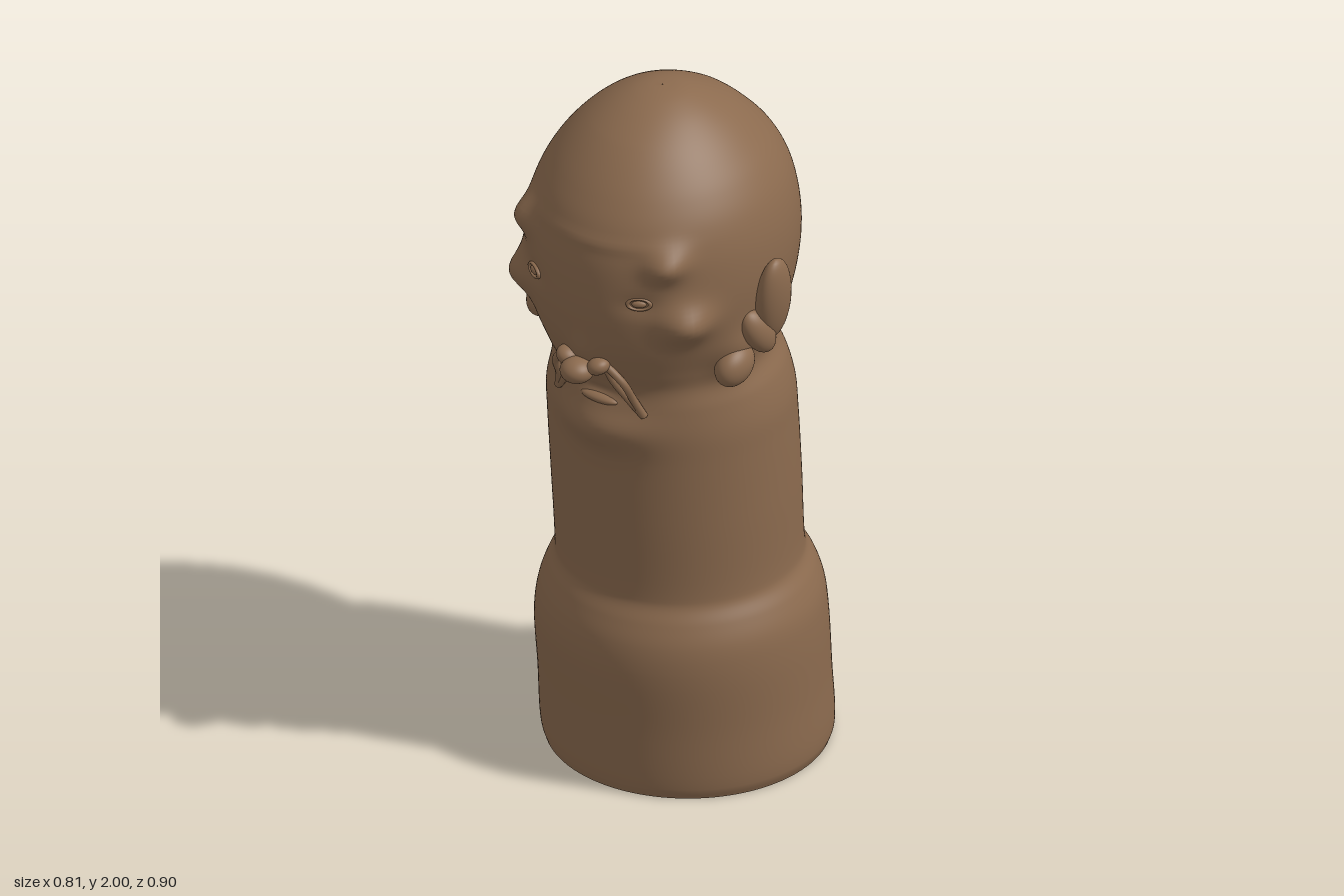
import * as THREE from 'three';

const clay = new THREE.MeshStandardMaterial({ color: 0x8b6a4e, side: THREE.DoubleSide });
clay.name = 'brown clay';

// Body rings: height, x min, x max, z back, z front
const rings = [
  [0, -0.36, 0.4, -0.44, 0.32], [0.03, -0.37, 0.41, -0.445, 0.327], [0.2, -0.373, 0.408, -0.436, 0.338],
  [0.38, -0.375, 0.405, -0.425, 0.35], [0.46, -0.363, 0.395, -0.414, 0.34], [0.52, -0.343, 0.372, -0.395, 0.318],
  [0.565, -0.322, 0.347, -0.37, 0.297], [0.59, -0.32, 0.342, -0.366, 0.295], [0.8, -0.325, 0.34, -0.356, 0.305],
  [1.0, -0.33, 0.336, -0.345, 0.315], [1.09, -0.328, 0.332, -0.337, 0.32], [1.17, -0.305, 0.315, -0.315, 0.32],
  [1.235, -0.285, 0.29, -0.291, 0.33], [1.29, -0.295, 0.295, -0.305, 0.358], [1.38, -0.328, 0.325, -0.34, 0.392],
  [1.48, -0.35, 0.345, -0.362, 0.408], [1.57, -0.356, 0.35, -0.37, 0.41], [1.66, -0.348, 0.342, -0.362, 0.402],
  [1.74, -0.325, 0.32, -0.342, 0.378], [1.81, -0.29, 0.283, -0.305, 0.335], [1.87, -0.245, 0.235, -0.252, 0.284],
  [1.92, -0.195, 0.183, -0.195, 0.228], [1.96, -0.14, 0.128, -0.125, 0.163], [1.985, -0.09, 0.078, -0.07, 0.105],
  [1.996, -0.05, 0.04, -0.03, 0.062], [2, -0.006, -0.004, 0.019, 0.021],
];

// Soft swellings and hollows: centre x, y, z, spread x, y, z, height
const swellings = [
  [0.22, 1.66, 0.31, 0.045, 0.045, 0.08, 0.04], [-0.235, 1.66, 0.3, 0.045, 0.045, 0.08, 0.04], // brow knobs
  [0.255, 1.475, 0.27, 0.055, 0.055, 0.08, 0.05], [-0.25, 1.47, 0.27, 0.055, 0.055, 0.08, 0.05], // cheek knobs
  [0.17, 1.54, 0.36, 0.05, 0.03, 0.08, -0.008], [-0.18, 1.53, 0.36, 0.05, 0.03, 0.08, -0.008], // eye hollows
  [0, 1.35, 0.39, 0.04, 0.05, 0.1, 0.012], // nose root
  [0.01, 1.11, 0.32, 0.13, 0.07, 0.12, 0.042], // chin
  [0.01, 1.215, 0.33, 0.07, 0.016, 0.08, -0.014], // mouth line
  [0.31, 1.32, 0.11, 0.06, 0.08, 0.07, 0.03], [-0.31, 1.32, 0.11, 0.06, 0.08, 0.07, 0.03], // ear roots
  [0, 1.705, 0.38, 0.25, 0.018, 0.15, 0.005], // forehead fold
];

function bodyGeometry() {
  const around = 150, steps = 7, rows = (rings.length - 1) * steps;
  const sides = new THREE.CatmullRomCurve3(rings.map(r => new THREE.Vector3(r[1], r[0], r[2])));
  const depth = new THREE.CatmullRomCurve3(rings.map(r => new THREE.Vector3(r[3], r[0], r[4])));
  const pos = [], index = [];
  for (let j = 0; j <= rows; j++) {
    const s = sides.getPoint(j / rows), d = depth.getPoint(j / rows);
    for (let i = 0; i < around; i++) {
      const a = i / around * Math.PI * 2, ux = Math.sin(a), uz = Math.cos(a);
      let x = (s.x + s.z) / 2 + ux * (s.z - s.x) / 2;
      let z = (d.x + d.z) / 2 + uz * (d.z - d.x) / 2;
      let push = 0;
      for (const [bx, by, bz, sx, sy, sz, h] of swellings) {
        push += h * Math.exp(-(((x - bx) / sx) ** 2) - ((s.y - by) / sy) ** 2 - ((z - bz) / sz) ** 2);
      }
      pos.push(x + ux * push, s.y, z + uz * push);
      if (j < rows) {
        const k = (i + 1) % around, p = j * around, q = p + around;
        index.push(p + i, p + k, q + k, p + i, q + k, q + i);
      }
    }
  }
  const g = new THREE.BufferGeometry();
  g.setAttribute('position', new THREE.Float32BufferAttribute(pos, 3));
  g.setIndex(index);
  g.computeVertexNormals();
  return g;
}

export function createModel() {
  const model = new THREE.Group();
  model.name = 'carvedFigure';

  const add = (name, geometry) => {
    const m = new THREE.Mesh(geometry, clay);
    m.name = name;
    model.add(m);
    return m;
  };
  const blob = (name, p, r, rot = [0, 0, 0]) => {
    const m = add(name, new THREE.SphereGeometry(1, 32, 24));
    m.position.set(...p);
    m.scale.set(...r);
    m.rotation.set(...rot);
    return m;
  };

  // Base, trunk and head in one skin, open underneath
  add('body', bodyGeometry());

  // Nose
  blob('noseTip', [-0.003, 1.308, 0.405], [0.046, 0.034, 0.046]);

  for (const s of [1, -1]) {
    const side = s > 0 ? 'left' : 'right';

    // Nostril wings
    blob(side + 'Nostril', [s * 0.05, 1.328, 0.382], [0.032, 0.024, 0.032], [0, 0, s * 0.4]);

    // Ear, with the hanging lobe in front of its foot
    blob(side + 'Ear', [s * 0.362, 1.475, 0.025], [0.038, 0.13, 0.062], [0.1, 0, -s * 0.12]);
    blob(side + 'EarFold', [s * 0.345, 1.39, 0.07], [0.035, 0.075, 0.045], [0.5, 0, s * 0.2]);
    blob(side + 'EarLobe', [s * 0.308, 1.3, 0.125], [0.045, 0.056, 0.068], [0.3, 0, 0]);

    // Moustache strands running from the nose to the chin
    for (const spread of [0, 0.035]) {
      const path = new THREE.CatmullRomCurve3([
        new THREE.Vector3(s * 0.06, 1.335, 0.372),
        new THREE.Vector3(s * (0.075 + spread), 1.28, 0.352),
        new THREE.Vector3(s * (0.1 + spread * 0.6), 1.22, 0.322),
        new THREE.Vector3(s * 0.14, 1.165, 0.3),
      ]);
      add(side + 'Moustache', new THREE.TubeGeometry(path, 20, 0.011, 10));
    }

    // Eye: almond rim around a small ball
    const eye = new THREE.Group();
    eye.name = side + 'Eye';
    const rim = new THREE.Mesh(new THREE.TorusGeometry(0.03, 0.006, 8, 32), clay);
    rim.name = 'eyelids';
    rim.scale.set(1, 0.55, 1);
    const ball = new THREE.Mesh(new THREE.SphereGeometry(0.02, 20, 14), clay);
    ball.name = 'eyeball';
    ball.scale.set(1, 0.5, 0.4);
    eye.add(rim, ball);
    eye.position.set(s > 0 ? 0.165 : -0.178, s > 0 ? 1.545 : 1.53, 0.357);
    eye.rotation.y = s * 0.54;
    model.add(eye);
  }

  // Lower lip
  blob('lowerLip', [0.01, 1.19, 0.32], [0.06, 0.014, 0.022]);

  return model;
}
